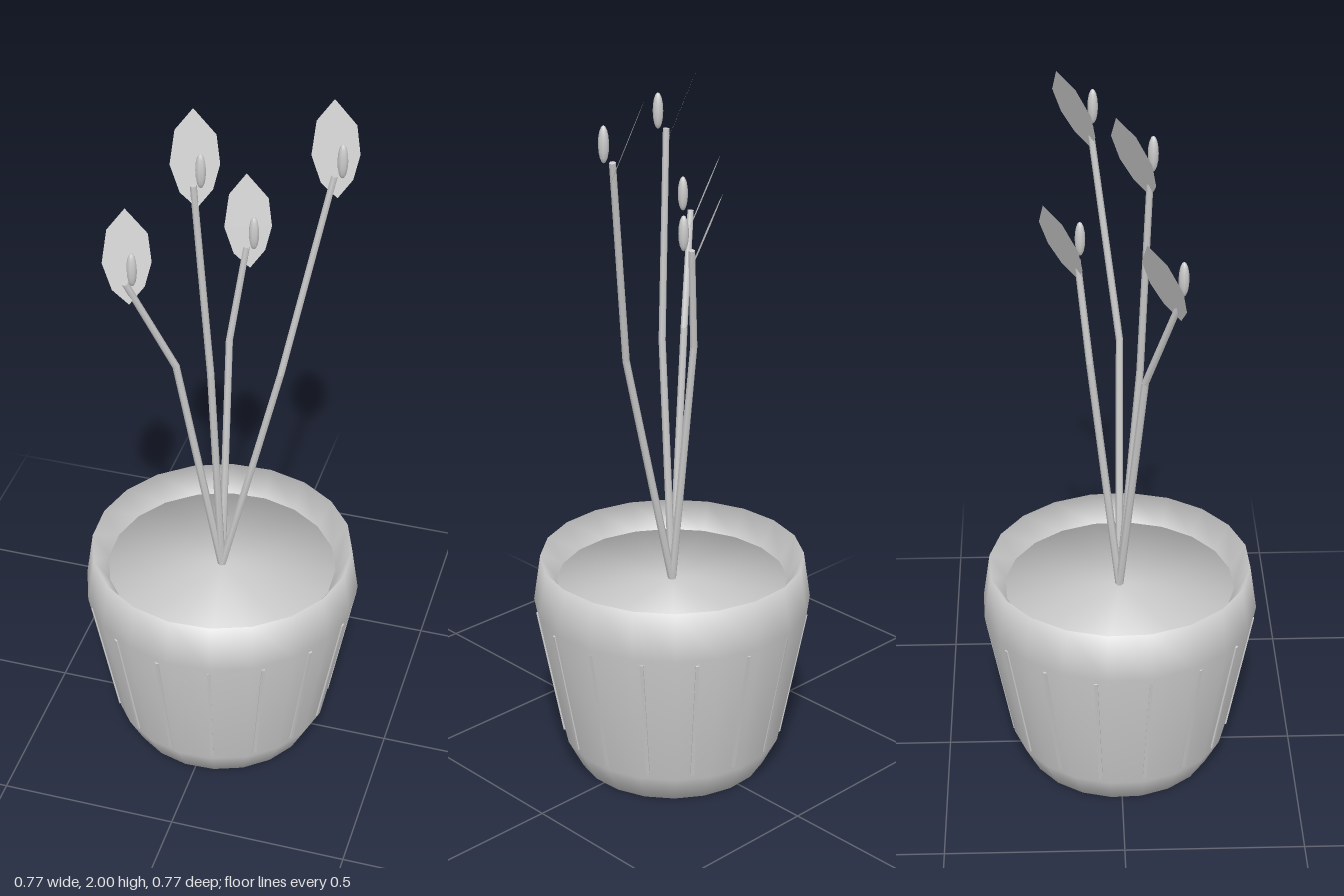
import * as THREE from 'three';

const V = (x, y, z) => new THREE.Vector3(x, y, z);
const grey = new THREE.MeshStandardMaterial({ color: 0xcccccc, side: THREE.DoubleSide });
grey.name = 'plain grey';

function part(name, geometry, parent) {
  const mesh = new THREE.Mesh(geometry, grey);
  mesh.name = name;
  parent.add(mesh);
  return mesh;
}

// Round rod between two points
function rod(name, a, b, r0, r1, parent) {
  const mesh = part(name, new THREE.CylinderGeometry(r1, r0, a.distanceTo(b), 6), parent);
  mesh.position.copy(a).add(b).multiplyScalar(0.5);
  mesh.quaternion.setFromUnitVectors(V(0, 1, 0), b.clone().sub(a).normalize());
}

function lathe(points) {
  return new THREE.LatheGeometry(points.map(([r, y]) => new THREE.Vector2(r, y)), 20, 0.2);
}

// Pointed, slightly lopsided flower hood, centred on its middle
function hoodGeometry() {
  const outline = [[0, -0.125], [0.045, -0.082], [0.067, -0.02], [0.06, 0.055],
    [0, 0.125], [-0.052, 0.075], [-0.069, -0.01], [-0.045, -0.082]];
  return new THREE.ShapeGeometry(new THREE.Shape(outline.map(([x, y]) => new THREE.Vector2(x, y))));
}

export function createModel() {
  const model = new THREE.Group();
  model.name = 'pottedPlant';

  // Pot with a closed bottom and a bevelled inner lip
  const pot = new THREE.Group();
  pot.name = 'pot';
  model.add(pot);
  part('potWall', lathe([[0, 0], [0.27, 0], [0.313, 0.085], [0.39, 0.495], [0.37, 0.63], [0.325, 0.555]]), pot);

  // Soil with a rounded-over skirt hidden in the pot
  part('soil', lathe([[0.29, 0.14], [0.325, 0.555], [0, 0.555]]), pot);

  // Sixteen thin ribs leaning with the wall
  const ribs = new THREE.Group();
  ribs.name = 'ribs';
  pot.add(ribs);
  const lean = Math.atan2(0.07, 0.38);
  for (let i = 0; i < 16; i++) {
    const holder = new THREE.Group();
    holder.name = 'ribHolder';
    holder.rotation.y = (i + 0.5) * Math.PI / 8;
    const rib = part('rib', new THREE.BoxGeometry(0.01, 0.385, 0.01), holder);
    rib.position.set(0, 0.29, 0.347);
    rib.rotation.x = lean;
    ribs.add(holder);
  }

  // Four flowers, each with a bent stem: knee and tip
  const stems = [
    [V(0.165, 1.25, 0.005), V(0.275, 1.83, -0.07)],
    [V(-0.108, 1.26, 0.065), V(-0.215, 1.555, 0.15)],
    [V(-0.003, 1.27, -0.08), V(0.035, 1.555, -0.11)],
    [V(-0.015, 1.25, 0.055), V(-0.052, 1.83, 0.077)],
  ];
  const hood = hoodGeometry();
  const spike = new THREE.SphereGeometry(0.014, 8, 8).scale(1, 3.5, 1);
  for (const [knee, tip] of stems) {
    const flower = new THREE.Group();
    flower.name = 'flower';
    model.add(flower);
    rod('lowerStem', V(0, 0.55, 0), knee, 0.011, 0.01, flower);
    rod('upperStem', knee, tip, 0.01, 0.009, flower);

    // Hood turned to the front left of the plant and tipped back
    const leaf = part('hood', hood, flower);
    leaf.rotation.set(-0.38, 0.7, -0.12, 'YXZ');
    leaf.position.copy(tip).add(V(-0.008, 0.053, -0.043));

    part('flowerSpike', spike, flower).position.copy(tip).add(V(0.022, 0.05, 0.008));
  }
  return model;
}
